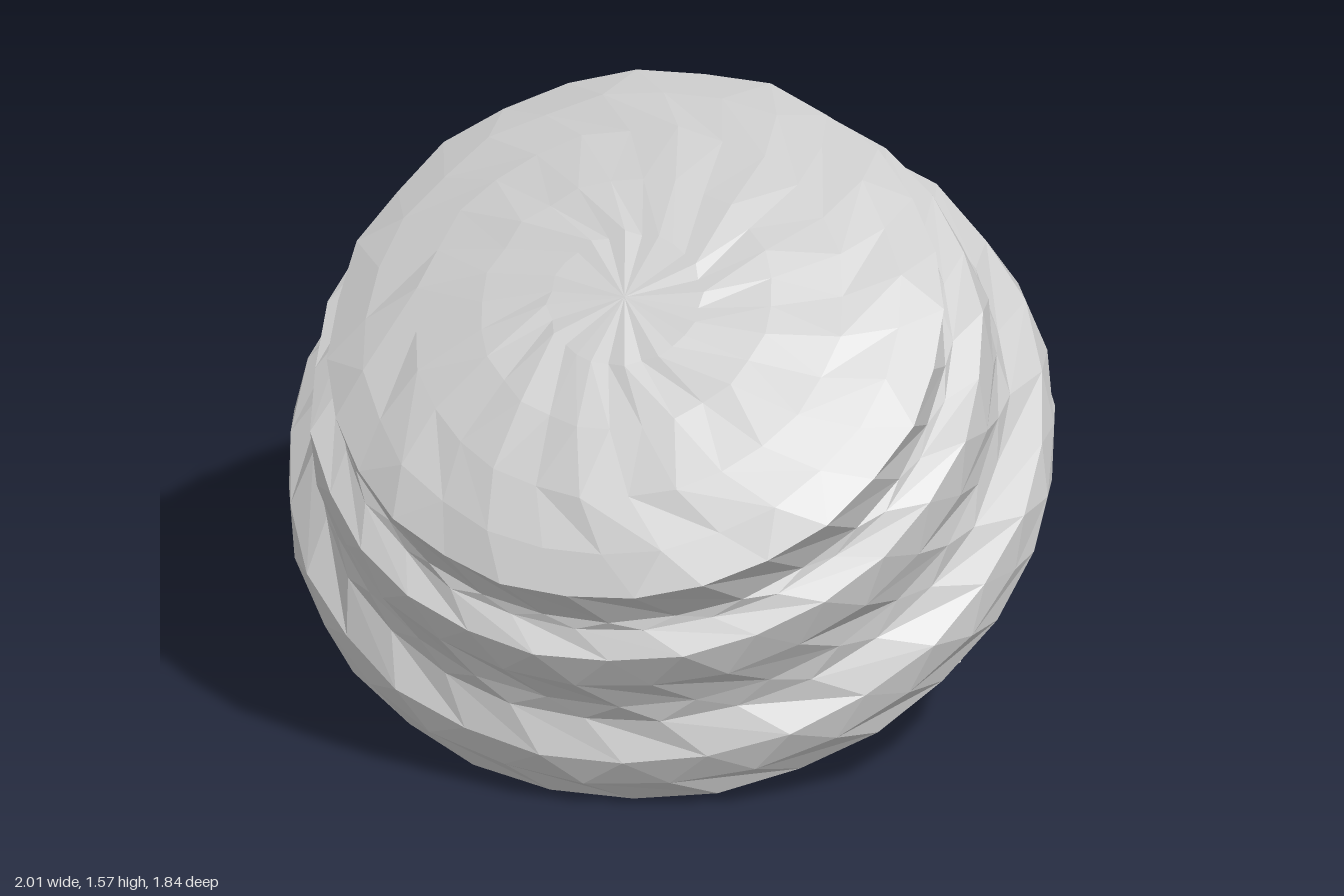
import * as THREE from 'three';

const SEGMENTS = 28;
const TILT = THREE.MathUtils.degToRad(35);

const material = new THREE.MeshStandardMaterial({ color: 0xcccccc, flatShading: true });

// Faceted turned part: every other ring is turned half a step and edges wobble slightly.
function turned(name, profile) {
  const points = profile.map(([r, y]) => new THREE.Vector2(r, y));
  const geometry = new THREE.LatheGeometry(points, SEGMENTS);
  const pos = geometry.attributes.position;
  const half = Math.PI / SEGMENTS;
  for (let i = 0; i < pos.count; i++) {
    const row = i % points.length;
    const { x: r, y } = points[row];
    const step = Math.floor(i / points.length) % SEGMENTS;
    const angle = step * 2 * half + (row % 2 ? half : 0);
    const wobble = r > 0.01 ? 0.006 * Math.sin(step * 2.7 + row * 1.9) : 0;
    pos.setXYZ(i, (r + wobble) * Math.sin(angle), y + wobble * 0.7, (r + wobble) * Math.cos(angle));
  }
  geometry.computeVertexNormals();
  const mesh = new THREE.Mesh(geometry, material);
  mesh.name = name;
  return mesh;
}

export function createModel() {
  const model = new THREE.Group();
  model.name = 'tieredButton';

  // Everything is turned about one axis that leans toward the front.
  const body = new THREE.Group();
  body.name = 'tiltedBody';
  body.rotation.x = TILT;
  body.position.set(0, 0.244, -0.348);
  model.add(body);

  // Wide base, middle tier, recessed ledge and domed cap in one continuous surface
  body.add(turned('tieredBodyWithDome', [
    [0, 0.378], [0.5, 0.38], [0.94, 0.387], [0.985, 0.408],
    [1.0, 0.5], [0.985, 0.582],
    [0.9, 0.65], [0.885, 0.7], [0.89, 0.8], [0.875, 0.9],
    [0.80, 0.93], [0.785, 0.95], [0.80, 1.085],
    [0.70, 1.14], [0.56, 1.19], [0.38, 1.235], [0.2, 1.258], [0, 1.268],
  ]));

  // Small pebble-like feet under the base: x, z, size
  const feet = [
    [-0.31, -0.63, 0.09], [-0.91, 0.07, 0.08], [0.84, -0.18, 0.09],
    [0.03, 0.72, 0.07], [0.8, 0.41, 0.07], [0.54, 0.63, 0.04],
  ];
  feet.forEach(([x, z, size], i) => {
    const foot = new THREE.Mesh(new THREE.IcosahedronGeometry(size, 0), material);
    foot.name = 'foot' + (i + 1);
    foot.position.set(x, 0.38, z);
    foot.scale.set(1, 0.65, 0.9);
    foot.rotation.y = i * 1.3;
    body.add(foot);
  });

  return model;
}
